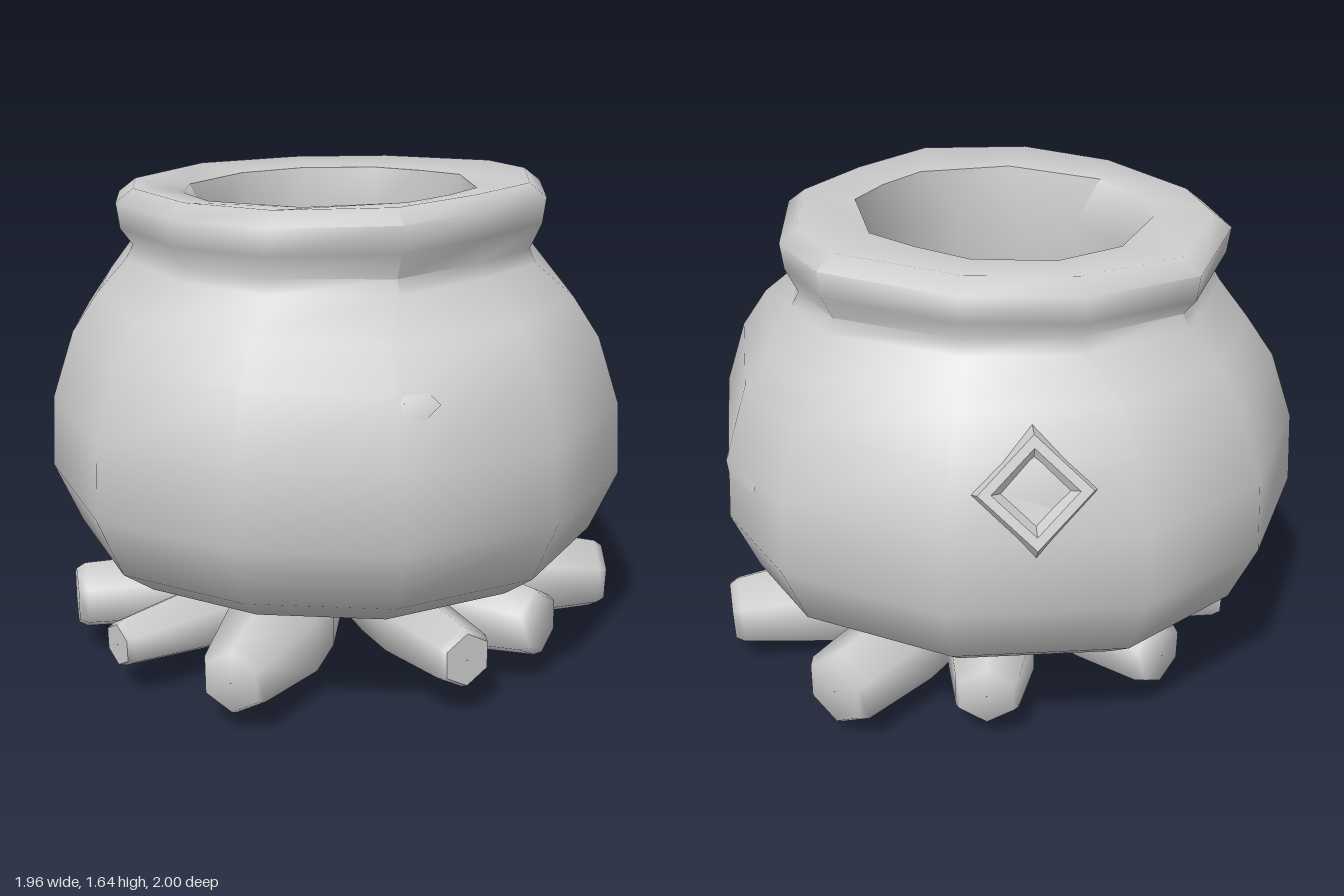
import * as THREE from 'three';
import { toCreasedNormals } from 'three/addons/utils/BufferGeometryUtils.js';

// Skins through rings of [outline, scale, y]; each outline is a list of [x, z] points
function loft(rings, crease) {
  const n = rings[0][0].length, pos = [], index = [];
  for (const [outline, s, y] of rings) for (const [x, z] of outline) pos.push(x * s, y, z * s);
  for (let j = 0; j < rings.length - 1; j++) {
    for (let i = 0; i < n; i++) {
      const k = (i + 1) % n, a = j * n + i, b = j * n + k;
      index.push(a, b, b + n, a, b + n, a + n);
    }
  }
  const g = new THREE.BufferGeometry();
  g.setAttribute('position', new THREE.Float32BufferAttribute(pos, 3));
  g.setIndex(index);
  return toCreasedNormals(g, crease);
}

function polygon(n) {
  return Array.from({ length: n }, (_, i) => {
    const a = (i / n) * Math.PI * 2;
    return [Math.sin(a), Math.cos(a)];
  });
}

// Turns a mesh so that its y axis points along a direction
function aim(mesh, direction) {
  const y = direction.clone().normalize();
  const x = new THREE.Vector3(0, 1, 0).cross(y).normalize();
  const z = new THREE.Vector3().crossVectors(x, y);
  mesh.quaternion.setFromRotationMatrix(new THREE.Matrix4().makeBasis(x, y, z));
}

export function createModel() {
  const model = new THREE.Group();
  const grey = new THREE.MeshStandardMaterial({ color: 0xcccccc });
  grey.name = 'grey';
  const add = (name, geometry) => {
    const mesh = new THREE.Mesh(geometry, grey);
    mesh.name = name;
    model.add(mesh);
    return mesh;
  };

  // Pot: uneven outlines for the belly, the rim and the mouth
  const belly = [
    [0.2, 0.99], [0.68, 0.75], [0.95, 0.27], [0.93, -0.3], [0.76, -0.67], [0.28, -0.97],
    [-0.32, -1], [-0.74, -0.73], [-0.98, -0.28], [-0.96, 0.2], [-0.73, 0.72], [-0.3, 0.95],
  ];
  const rim = [
    [0.2, 0.7], [0.47, 0.46], [0.68, 0.2], [0.71, -0.21], [0.6, -0.46], [0.2, -0.69],
    [-0.17, -0.72], [-0.54, -0.57], [-0.75, -0.15], [-0.72, 0.13], [-0.5, 0.5], [-0.2, 0.7],
  ];
  const mouth = [
    [0.22, 0.42], [0.36, 0.28], [0.46, 0.13], [0.43, -0.2], [0.3, -0.33], [0.14, -0.45],
    [-0.12, -0.48], [-0.34, -0.37], [-0.5, -0.1], [-0.5, 0.1], [-0.4, 0.3], [-0.1, 0.47],
  ];
  const outside = [
    [0.001, 0.34], [0.45, 0.34], [0.8, 0.395], [0.91, 0.48], [1, 0.69], [0.985, 0.93],
    [0.91, 1.15], [0.82, 1.28],
  ].map(([s, y]) => [belly, s, y]);
  const lip = [
    [rim, 0.965, 1.385], [rim, 0.93, 1.43], [rim, 0.985, 1.5], [rim, 1, 1.585], [rim, 0.92, 1.63],
    [mouth, 1, 1.61],
  ];
  const inside = [
    [0.44, 1.45], [0.46, 1.2], [0.47, 1], [0.43, 0.8], [0.31, 0.63], [0.16, 0.55], [0.001, 0.52],
  ].map(([s, y]) => [belly, s, y]);
  const pot = loft([...outside, ...lip, ...inside], 1.15);
  const p = pot.attributes.position;
  for (let i = 0; i < p.count; i++) {
    // The rim leans a little
    if (p.getY(i) > 1.48) p.setY(i, p.getY(i) + 0.022 * p.getX(i) + 0.012 * p.getZ(i));
  }
  add('pot', pot);

  // Four-sided details set on the belly: rings of [radius, height], position, facing
  const square = polygon(4);
  function onPot(name, rings, at, facing, crease) {
    const mesh = add(name, loft(rings.map(([r, h]) => [square, r, h]), crease));
    aim(mesh, new THREE.Vector3(...facing));
    mesh.position.set(...at);
  }
  onPot('backDiamondFrame',
    [[0.21, -0.04], [0.17, 0.035], [0.13, 0.035], [0.1, 0.008], [0.001, 0.008]],
    [0.01, 1.06, -0.915], [0.03, 0.36, -0.93], 0.6);
  onPot('frontBump', [[0.11, -0.025], [0.001, 0.012]], [0.2, 1.12, 0.9], [0.06, 0.4, 0.93], 1);
  onPot('sideBump', [[0.21, -0.04], [0.001, 0.016]], [0.91, 0.9, -0.3], [1, 0.15, -0.2], 1);

  // Firewood: end x, y, z, end radius, middle radius
  const logs = [
    [-0.32, 0.19, 0.82, 0.12, 0.18],
    [0.42, 0.22, 0.72, 0.105, 0.13],
    [0.69, 0.22, 0.46, 0.12, 0.16],
    [0.97, 0.17, -0.07, 0.13, 0.18],
    [0.62, 0.2, -0.64, 0.14, 0.16],
    [0.13, 0.2, -0.73, 0.12, 0.17],
    [-0.49, 0.19, -0.57, 0.12, 0.14],
    [-0.8, 0.19, -0.18, 0.115, 0.15],
    [-0.9, 0.21, 0.22, 0.12, 0.13],
    [-0.71, 0.19, 0.56, 0.085, 0.12],
  ];
  const hexagon = polygon(6);
  logs.forEach(([x, y, z, end, mid], i) => {
    const start = new THREE.Vector3(x * 0.08, 0.2, z * 0.08);
    const along = new THREE.Vector3(x, y, z).sub(start);
    const len = along.length();
    const rings = [
      [0.001, 0], [0.08, 0.01], [mid * 0.92, len * 0.38], [mid, len * 0.6],
      [end, len - 0.03], [end * 0.85, len], [0.001, len],
    ];
    const log = add('log' + (i + 1), loft(rings.map(([r, h]) => [hexagon, r, h]), 1.1));
    aim(log, along);
    log.position.copy(start);
  });

  return model;
}
